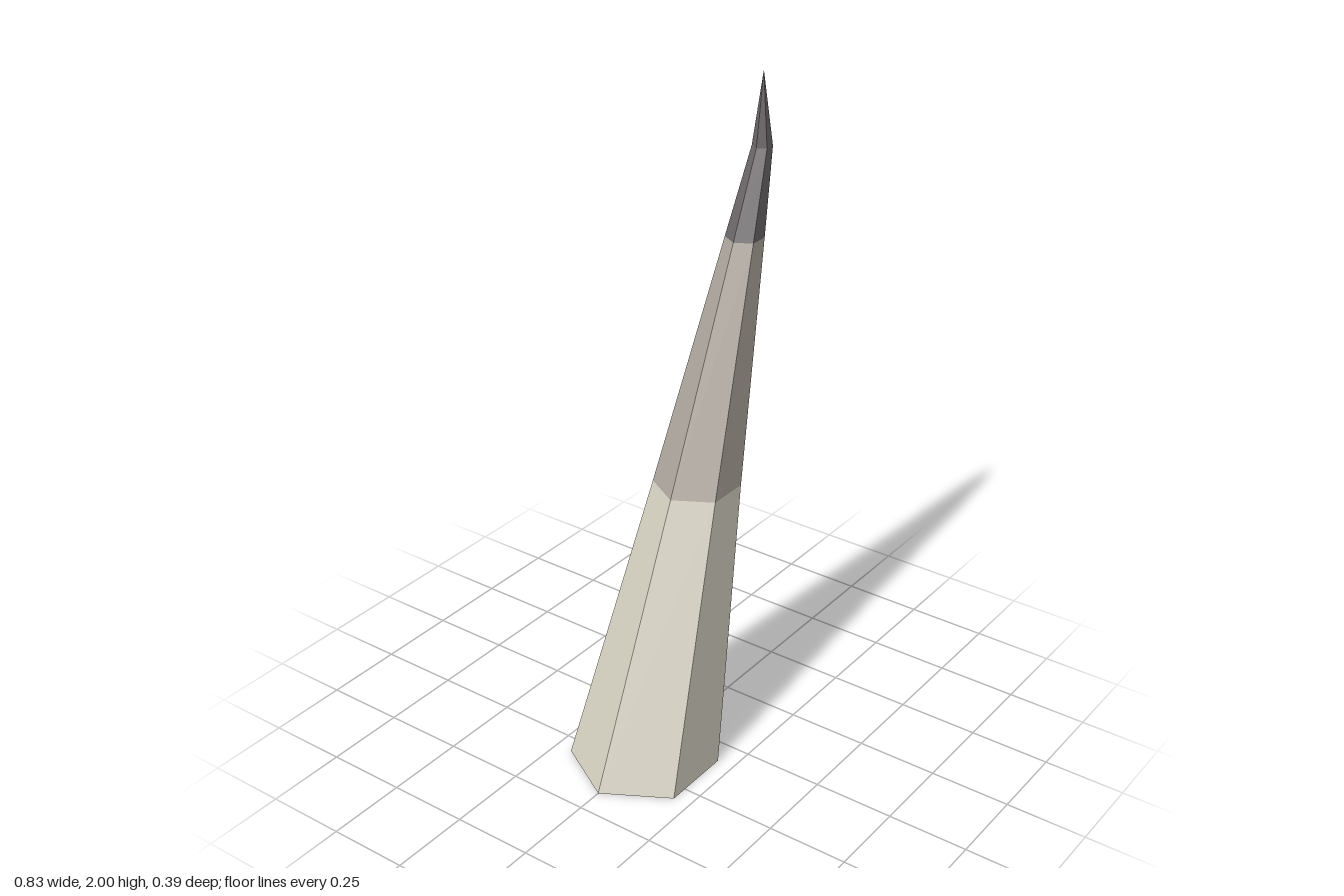
import * as THREE from 'three';

const flat = (name, color) => {
  const m = new THREE.MeshStandardMaterial({ color, flatShading: true });
  m.name = name;
  return m;
};

// Six-sided sheared frustum between two rings [x centre, y, radius]
function section(name, [x0, y0, r0], [x1, y1, r1], material, open = true) {
  const h = y1 - y0;
  const g = new THREE.CylinderGeometry(r1, r0, h, 6, 1, open, Math.PI / 2);
  g.translate(0, h / 2, 0);
  const p = g.attributes.position;
  for (let i = 0; i < p.count; i++) {
    p.setX(i, p.getX(i) + x0 + (x1 - x0) * p.getY(i) / h);
  }
  g.translate(0, y0, 0);
  g.computeVertexNormals();
  const mesh = new THREE.Mesh(g, material);
  mesh.name = name;
  return mesh;
}

export function createModel() {
  const group = new THREE.Group();
  group.name = 'horn';
  const bone = flat('pale bone', 0xd3cfc0);
  const grey = flat('warm grey', 0xada59c);
  const dark = flat('dark tip', 0x6c6768);

  // Rings from the base up to the point
  const base = [-0.193, 0, 0.225];
  const middle = [0.075, 0.83, 0.13];
  const upper = [0.304, 1.53, 0.057];
  const bend = [0.385, 1.78, 0.03];
  const point = [0.385, 2, 0];

  group.add(
    section('hornBase', base, middle, bone, false),
    section('hornMiddle', middle, upper, grey),
    section('hornUpper', upper, bend, dark),
    section('hornPoint', bend, point, dark),
  );
  return group;
}
